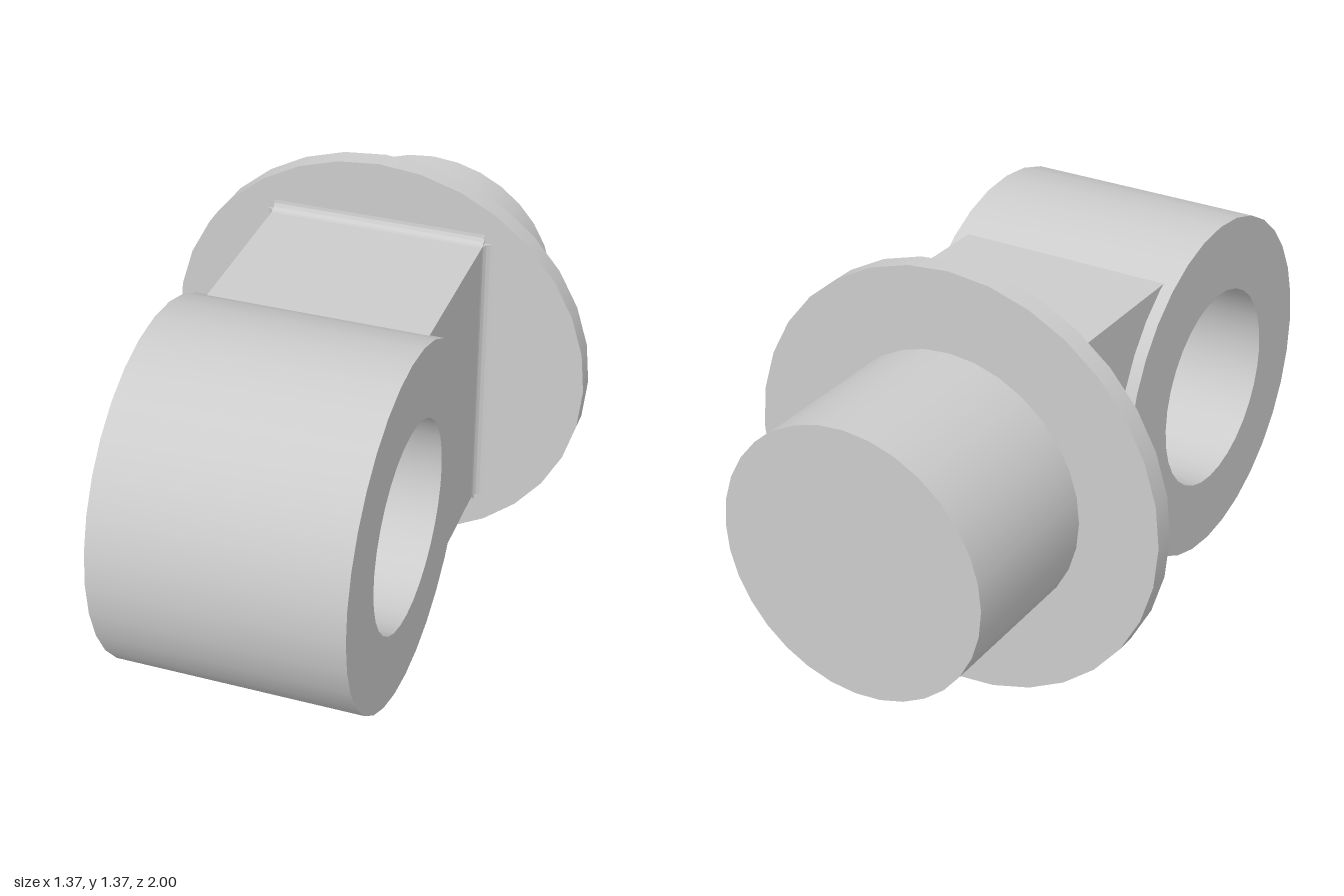
import * as THREE from 'three';
import { toCreasedNormals } from 'three/addons/utils/BufferGeometryUtils.js';

const SIDES = 32;
const RING_Z = 0.444;
const FLANGE_FRONT = -0.415;
const FLANGE_BACK = -0.482;
const BLOCK_W = 0.345; // half width
const BLOCK_H = 0.473; // half height

export function createModel() {
  const model = new THREE.Group();
  const body = new THREE.Group();
  body.name = 'eyeFitting';
  body.position.y = 0.687;
  model.add(body);
  const material = new THREE.MeshStandardMaterial({ color: 0xcccccc });

  const add = (name, geometry, parent = body) => {
    const mesh = new THREE.Mesh(geometry, material);
    mesh.name = name;
    parent.add(mesh);
    return mesh;
  };

  // Extrudes a profile drawn in (z, y) along x, centred on x = 0
  const extrudeAcross = (shape, width) => {
    const g = new THREE.ExtrudeGeometry(shape, { depth: width, bevelEnabled: false, curveSegments: 12 });
    g.translate(0, 0, -width / 2).rotateY(-Math.PI / 2);
    return toCreasedNormals(g, 0.6);
  };

  // Disc lying along z between two depths
  const disc = (name, radius, z0, z1) => {
    const g = new THREE.CylinderGeometry(radius, radius, z1 - z0, SIDES);
    g.rotateX(Math.PI / 2).translate(0, 0, (z0 + z1) / 2);
    return add(name, g);
  };

  // Bearing eye with its cross bore
  const ro = 0.556, ri = 0.323, w = 0.385;
  const profile = [[ro, -w], [ro, w], [ri, w], [ri, -w], [ro, -w]].map(([x, y]) => new THREE.Vector2(x, y));
  const ring = toCreasedNormals(new THREE.LatheGeometry(profile, SIDES), 0.6);
  ring.rotateZ(Math.PI / 2).translate(0, 0, RING_Z);
  add('eyeRing', ring);

  // Neck block, its front hollowed to stay clear of the bore
  const r = 0.5, a = Math.asin(BLOCK_H / r);
  const neck = new THREE.Shape();
  neck.moveTo(FLANGE_FRONT, -BLOCK_H);
  neck.lineTo(RING_Z - r * Math.cos(a), -BLOCK_H);
  neck.absarc(RING_Z, 0, r, Math.PI + a, Math.PI - a, true);
  neck.lineTo(FLANGE_FRONT, BLOCK_H);
  neck.closePath();
  add('neck', extrudeAcross(neck, BLOCK_W * 2));

  // Concave fillets where the neck meets the flange
  const f = 0.03;
  const cove = new THREE.Shape();
  cove.moveTo(0, 0);
  cove.lineTo(f, 0);
  cove.absarc(f, f, f, -Math.PI / 2, -Math.PI, true);
  cove.closePath();
  for (let i = 0; i < 4; i++) {
    const [offset, half] = i % 2 ? [BLOCK_W, BLOCK_H] : [BLOCK_H, BLOCK_W];
    const side = new THREE.Group();
    side.name = 'filletSide';
    side.rotation.z = (i * Math.PI) / 2;
    body.add(side);
    add('neckFillet', extrudeAcross(cove, half * 2), side).position.set(0, offset, FLANGE_FRONT);
  }

  // Round flange and rear shank
  disc('flange', 0.687, FLANGE_BACK, FLANGE_FRONT);
  disc('shank', 0.43, -1, FLANGE_BACK);

  return model;
}
